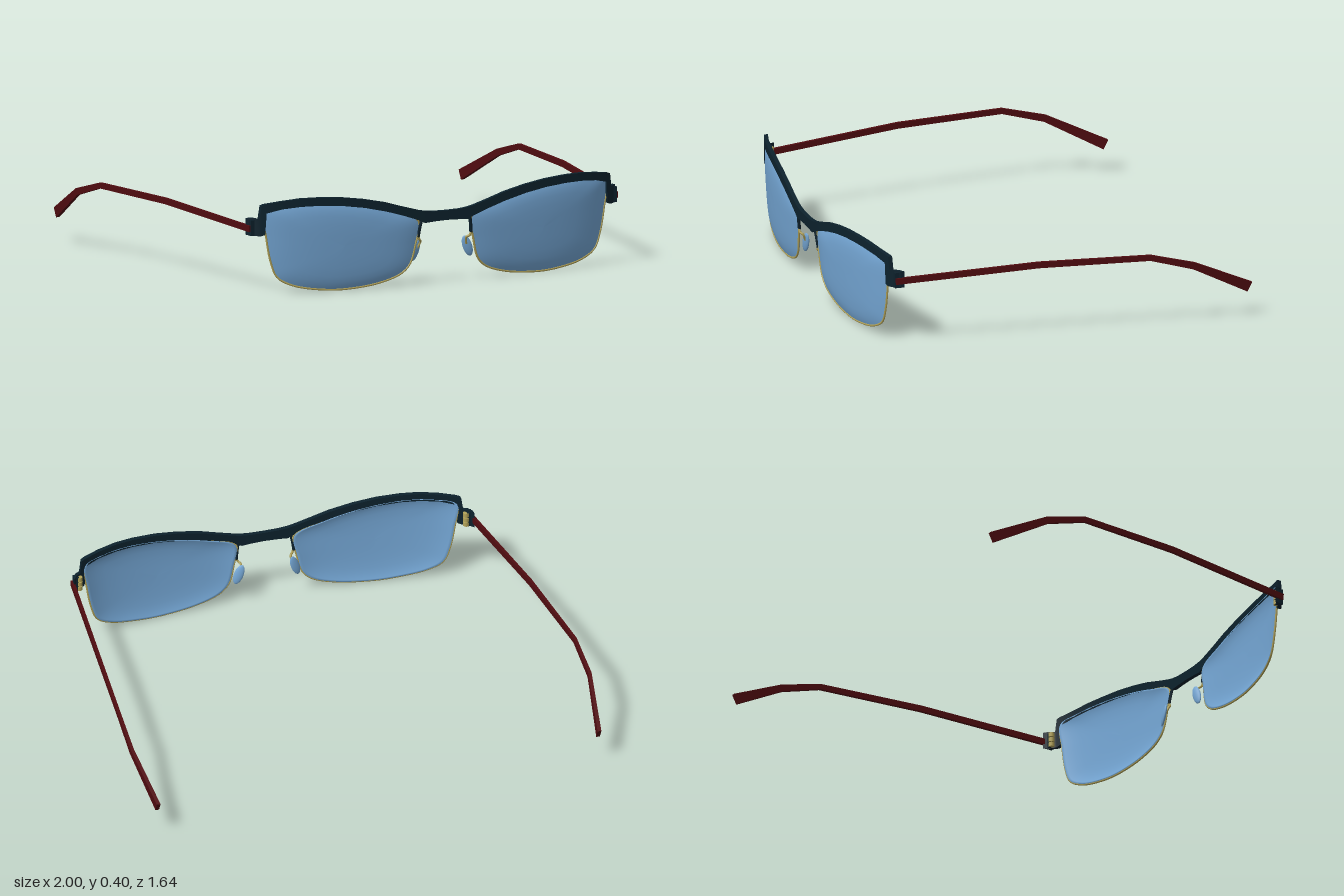
import * as THREE from 'three';
import { toCreasedNormals, mergeVertices } from 'three/addons/utils/BufferGeometryUtils.js';

const V = (x, y, z) => new THREE.Vector3(x, y, z);

// Skin over rings of points; rings run counter-clockwise seen from the far end
function loft(rings, caps = true) {
  const n = rings[0].length, pos = [], index = [];
  rings.forEach(r => r.forEach(p => pos.push(p.x, p.y, p.z)));
  for (let i = 0; i < rings.length - 1; i++) {
    for (let j = 0; j < n; j++) {
      const a = i * n + j, b = i * n + (j + 1) % n;
      index.push(a, b, b + n, a, b + n, a + n);
    }
  }
  if (caps) {
    const e = (rings.length - 1) * n;
    for (let j = 1; j < n - 1; j++) index.push(0, j + 1, j, e, e + j, e + j + 1);
  }
  const g = new THREE.BufferGeometry();
  g.setAttribute('position', new THREE.Float32BufferAttribute(pos, 3));
  g.setIndex(index);
  g.computeVertexNormals();
  return g;
}

// Mirror a geometry across x = 0, keeping its faces outward
function mirrored(geo) {
  const g = geo.index ? geo.clone() : mergeVertices(geo);
  const p = g.attributes.position, nm = g.attributes.normal, ix = g.index;
  for (let i = 0; i < p.count; i++) {
    p.setX(i, -p.getX(i));
    nm.setX(i, -nm.getX(i));
  }
  for (let i = 0; i < ix.count; i += 3) {
    const b = ix.getX(i + 1);
    ix.setX(i + 1, ix.getX(i + 2));
    ix.setX(i + 2, b);
  }
  return g;
}

// Wrap of the front, and the slight backward tilt of the lenses
const wrapZ = x => 0.815 - 0.088 * x * x - 0.115 * Math.pow(x, 6);
const lensZ = (x, y) => wrapZ(x) - 0.013 - 0.017 * Math.pow(Math.max(0, (0.36 - y) / 0.36), 1.5);

export function createModel() {
  const model = new THREE.Group();
  const mat = (name, color) => {
    const m = new THREE.MeshStandardMaterial({ color });
    m.name = name;
    return m;
  };
  const lensBlue = mat('lens blue', 0x74a6d4);
  const frameDark = mat('dark teal', 0x0d222d);
  const templeRed = mat('dark red', 0x500c10);
  const gold = mat('gold', 0xb3a358);

  const add = (name, geo, m) => {
    const mesh = new THREE.Mesh(geo, m);
    mesh.name = name;
    model.add(mesh);
  };
  const addPair = (name, geo, m) => {
    add('left' + name, geo, m);
    add('right' + name, mirrored(geo), m);
  };

  // Brow bar with bridge and end pieces: x, bottom, top, optional z
  const half = [
    [0, 0.265, 0.305], [0.06, 0.263, 0.306], [0.1, 0.26, 0.31], [0.125, 0.272, 0.315],
    [0.2, 0.298, 0.336], [0.28, 0.322, 0.36], [0.38, 0.345, 0.381], [0.48, 0.36, 0.395],
    [0.58, 0.367, 0.401], [0.66, 0.367, 0.401], [0.74, 0.36, 0.393], [0.802, 0.345, 0.384],
    [0.808, 0.255, 0.383], [0.822, 0.25, 0.378], [0.83, 0.25, 0.322], [0.85, 0.25, 0.326, 0.7],
    [0.866, 0.252, 0.322, 0.68],
  ];
  const sections = [
    ...half.slice(1).reverse().map(([x, b, t, z]) => [-x, b, t, z]),
    ...half,
  ];
  const brow = loft(sections.map(([x, b, t, z = wrapZ(x)]) => {
    const back = z - 0.018;
    return [V(x, b, z), V(x, b, back), V(x, t, back), V(x, t, z)];
  }));
  add('browBar', toCreasedNormals(brow, 0.6), frameDark);

  // Lens outline, counter-clockwise from the inner top corner
  const outline = new THREE.CatmullRomCurve3([
    [0.125, 0.268], [0.137, 0.17], [0.16, 0.09], [0.2, 0.052], [0.3, 0.02], [0.45, 0.005],
    [0.55, 0.009], [0.68, 0.033], [0.748, 0.07], [0.775, 0.13], [0.797, 0.24], [0.808, 0.35],
    [0.72, 0.372], [0.6, 0.377], [0.42, 0.358], [0.25, 0.318],
  ].map(([x, y]) => V(x, y, 0)), true, 'centripetal');
  const rim = outline.getPoints(96).slice(0, 96);

  // Domed lens shell: rings from the back centre, round the edge, to the front centre
  const dome = s => 0.015 * (1 - Math.pow(s, 5));
  const steps = [0.002, 0.25, 0.5, 0.7, 0.82, 0.9, 0.96, 0.99];
  const shell = [
    ...steps.map(s => [s, dome(s) - 0.007]),
    [1, 0],
    ...steps.slice().reverse().map(s => [s, dome(s)]),
  ];
  const lens = loft(shell.map(([s, dz]) => rim.map(p => {
    const x = 0.47 + (p.x - 0.47) * s, y = 0.19 + (p.y - 0.19) * s;
    return V(x, y, lensZ(x, y) + dz);
  })));
  addPair('Lens', lens, lensBlue);

  // Thin wire around each lens
  const wirePath = new THREE.CatmullRomCurve3(rim.map(p => V(p.x, p.y, lensZ(p.x, p.y))), true);
  addPair('RimWire', new THREE.TubeGeometry(wirePath, 120, 0.0045, 6, true), gold);

  // Nose pads with their posts and arms
  const post = new THREE.CatmullRomCurve3([V(0.113, 0.275, 0.805), V(0.12, 0.24, 0.8), V(0.125, 0.2, 0.795)]);
  addPair('NosePost', new THREE.TubeGeometry(post, 8, 0.007, 6), frameDark);
  const arm = new THREE.CatmullRomCurve3([
    V(0.125, 0.205, 0.797), V(0.118, 0.188, 0.795), V(0.108, 0.18, 0.785), V(0.115, 0.15, 0.772),
  ]);
  addPair('NoseArm', new THREE.TubeGeometry(arm, 12, 0.005, 6), gold);
  const pad = new THREE.SphereGeometry(1, 20, 12);
  pad.scale(0.02, 0.046, 0.008);
  pad.rotateY(-0.35).rotateZ(0.35).translate(0.122, 0.14, 0.768);
  addPair('NosePad', pad, lensBlue);

  // Hinges: a dark leaf and three stacked gold barrels
  const leaf = new THREE.BoxGeometry(0.022, 0.066, 0.026).translate(0.852, 0.284, 0.69);
  addPair('HingeLeaf', leaf, frameDark);
  for (let i = 0; i < 3; i++) {
    const barrel = new THREE.CylinderGeometry(0.013, 0.013, 0.018, 14);
    addPair('HingeBarrel' + (i + 1), barrel.translate(0.838, 0.262 + i * 0.022, 0.686), gold);
  }

  // Temples: x, y, z, height, thickness
  const path = [
    [0.864, 0.281, 0.7, 0.026, 0.014], [0.938, 0.314, 0.1, 0.026, 0.013],
    [0.987, 0.311, -0.37, 0.024, 0.013], [0.992, 0.257, -0.56, 0.029, 0.014],
    [0.955, 0.128, -0.812, 0.044, 0.016],
  ];
  const temple = loft(path.map(([x, y, z, h, w], i) => {
    const a = path[Math.max(0, i - 1)], b = path[Math.min(path.length - 1, i + 1)];
    const len = Math.hypot(b[1] - a[1], b[2] - a[2]);
    const uy = (a[2] - b[2]) / len * h / 2, uz = (b[1] - a[1]) / len * h / 2;
    const k = w / 2;
    return [
      V(x + k, y - uy, z - uz), V(x - k, y - uy, z - uz),
      V(x - k, y + uy, z + uz), V(x + k, y + uy, z + uz),
    ];
  }));
  addPair('Temple', toCreasedNormals(temple, 0.5), templeRed);

  return model;
}
